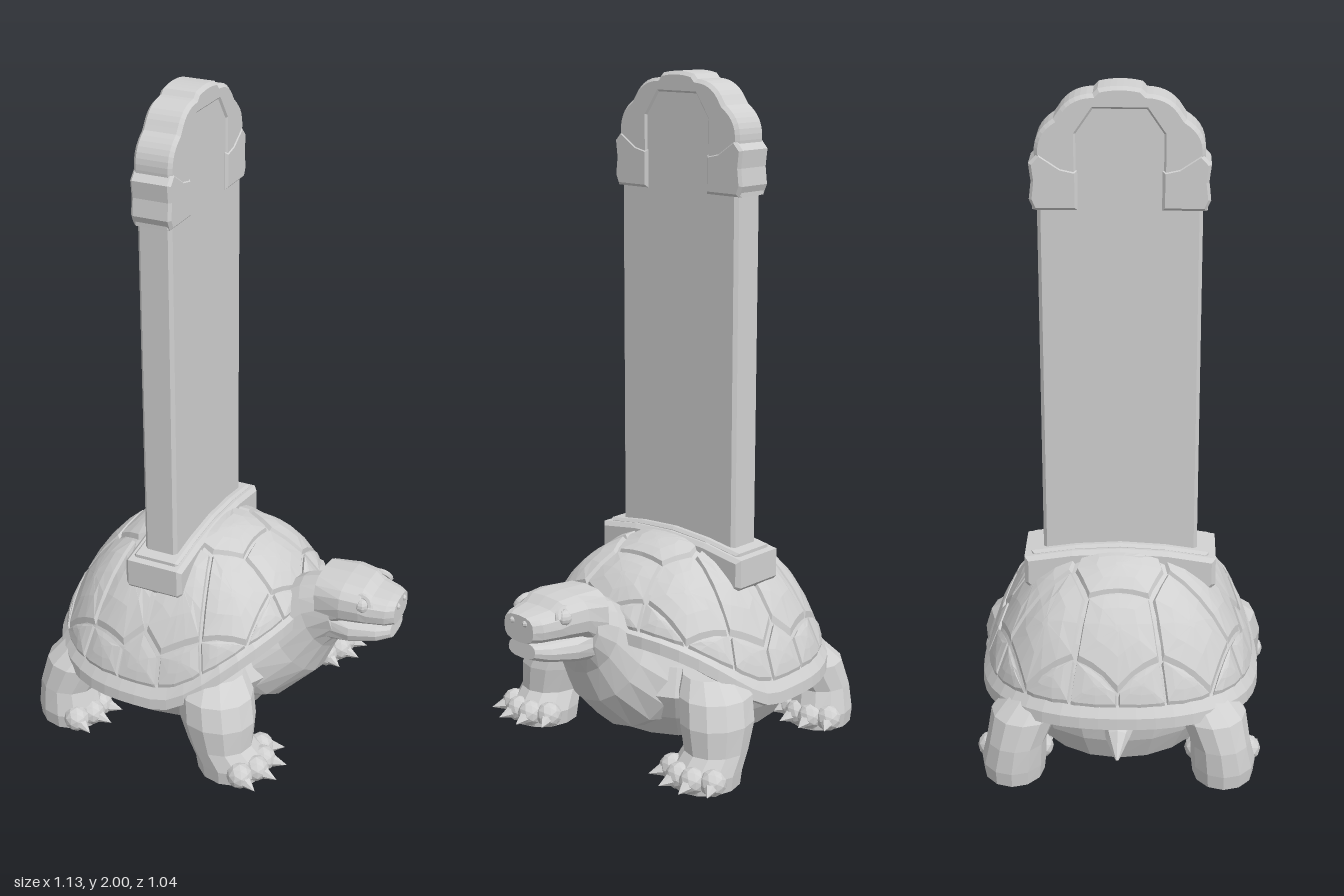
import * as THREE from 'three';

const stone = new THREE.MeshStandardMaterial({ color: 0xd0d0d0, flatShading: true });
stone.name = 'grey stone';
const UP = Math.PI / 2;

function add(parent, name, geometry, x = 0, y = 0, z = 0) {
  const mesh = new THREE.Mesh(geometry, stone);
  mesh.name = name;
  mesh.position.set(x, y, z);
  parent.add(mesh);
  return mesh;
}

function build(points, index) {
  const g = new THREE.BufferGeometry();
  g.setAttribute('position', new THREE.Float32BufferAttribute(points.flat(), 3));
  g.setIndex(index);
  const flat = g.toNonIndexed();
  flat.computeVertexNormals();
  return flat;
}

// closed skin over rings of n points, capped at both ends
function skin(rings) {
  const n = rings[0].length, index = [], points = rings.flat();
  for (let i = 0; i < rings.length - 1; i++) {
    for (let j = 0; j < n; j++) {
      const a = i * n + j, b = i * n + (j + 1) % n;
      index.push(a, b, b + n, a, b + n, a + n);
    }
  }
  [0, rings.length - 1].forEach((r, end) => {
    const c = points.length;
    points.push([0, 1, 2].map((k) => rings[r].reduce((s, p) => s + p[k], 0) / n));
    for (let j = 0; j < n; j++) {
      const a = r * n + j, b = r * n + (j + 1) % n;
      if (end) index.push(c, a, b); else index.push(c, b, a);
    }
  });
  return build(points, index);
}

// sections: [x, y, z, pitch of travel, half height, half width]; power below 1 squares them off
function loft(sections, n = 14, power = 1) {
  const round = (v) => Math.sign(v) * Math.abs(v) ** power;
  return skin(sections.map(([x, y, z, p, a, b]) => Array.from({ length: n }, (_, j) => {
    const t = (j / n) * Math.PI * 2, h = a * round(Math.cos(t));
    return [x - Math.sin(p) * h, y + Math.cos(p) * h, z + b * round(Math.sin(t))];
  })));
}

// side outline (z, y) extruded along x
function slabShape(points, depth, bevel = 0) {
  const g = new THREE.ExtrudeGeometry(new THREE.Shape(points.map((p) => new THREE.Vector2(...p))), {
    depth: depth - 2 * bevel, bevelEnabled: bevel > 0, bevelThickness: bevel,
    bevelSize: bevel, bevelOffset: -bevel, bevelSegments: 1,
  });
  return g.translate(0, 0, bevel - depth / 2).rotateY(UP);
}

// shell surface: r is 0 at the crown and 1 at the rim
const rimHeight = (f) => 0.195 + 0.2 * THREE.MathUtils.smoothstep(Math.cos(f), 0.15, 1)
  + 0.025 * THREE.MathUtils.smoothstep(-Math.cos(f), 0.3, 1);
function shellAt(r, f, y) {
  const c = Math.cos(f), s = Math.sin(f);
  const k = r / Math.pow(Math.abs(c) ** 2.4 + Math.abs(s) ** 2.4, 1 / 2.4);
  return [0.39 * k * c, y, 0.412 * k * s];
}
function dome(r, f, lift = 0) {
  const rim = rimHeight(f);
  const y = rim + (0.622 - rim) * Math.pow(Math.max(0, 1 - r ** 2.4), 0.78);
  return shellAt(r + lift * r, f, y + lift);
}

function shellBase() {
  const n = 48, rings = [];
  const ring = (fn) => rings.push(Array.from({ length: n }, (_, j) => fn(-j / n * Math.PI * 2)));
  for (const [r, dy] of [[0.6, 0.03], [0.96, -0.015], [1.02, -0.005], [1.015, 0.03]]) {
    ring((f) => shellAt(r, f, rimHeight(f) + dy));
  }
  for (const r of [0.96, 0.88, 0.78, 0.66, 0.52, 0.36, 0.18, 0.04]) ring((f) => dome(r, f));
  return skin(rings);
}

// scutes: cells around seed points, clipped to the shell disc
function scuteCells() {
  const seeds = [-0.7, -0.36, 0, 0.36, 0.7].map((u) => [u, 0]);
  for (const s of [-1, 1]) for (const u of [-0.56, -0.19, 0.19, 0.56]) seeds.push([u, s * (0.62 - 0.4 * u * u)]);
  for (let i = 0; i < 18; i++) {
    const a = (i + 0.5) / 18 * Math.PI * 2;
    seeds.push([1.1 * Math.cos(a), 1.1 * Math.sin(a)]);
  }
  return seeds.map((p) => {
    let cell = Array.from({ length: 40 }, (_, i) => [0.97 * Math.cos(i * Math.PI / 20), 0.97 * Math.sin(i * Math.PI / 20)]);
    for (const q of seeds) {
      if (q === p) continue;
      const side = (v) => Math.hypot(v[0] - q[0], v[1] - q[1]) ** 2 - Math.hypot(v[0] - p[0], v[1] - p[1]) ** 2;
      const out = [];
      cell.forEach((v, i) => {
        const w = cell[(i + 1) % cell.length], a = side(v), b = side(w);
        if (a >= 0) out.push(v);
        if (a * b < 0) out.push([v[0] + (w[0] - v[0]) * a / (a - b), v[1] + (w[1] - v[1]) * a / (a - b)]);
      });
      cell = out;
    }
    return cell;
  });
}
function scute(cell) {
  const edge = [];
  cell.forEach((v, i) => {
    const w = cell[(i + 1) % cell.length];
    const steps = Math.max(1, Math.round(Math.hypot(w[0] - v[0], w[1] - v[1]) / 0.12));
    for (let k = 0; k < steps; k++) edge.push([v[0] + (w[0] - v[0]) * k / steps, v[1] + (w[1] - v[1]) * k / steps]);
  });
  const c = [0, 1].map((k) => edge.reduce((s, v) => s + v[k], 0) / edge.length);
  edge.reverse();
  return skin([[0.98, -0.008], [0.9, 0.012], [0.5, 0.016], [0.08, 0.018]].map(([s, lift]) => edge.map((v) => {
    const x = c[0] + (v[0] - c[0]) * s, z = c[1] + (v[1] - c[1]) * s;
    return dome(Math.hypot(x, z), Math.atan2(z, x), lift);
  })));
}

// leg column with stubby clawed toes
function leg(parent, name, rows, side) {
  const g = new THREE.Group();
  g.name = name;
  parent.add(g);
  add(g, name + 'Column', loft(rows.map(([x, y, z, a, b]) => [x, y, z * side, UP, a, b]), 12));
  const [fx, , fz, len, wid] = rows[1];
  for (let i = 0; i < 4; i++) {
    const t = (i / 3) * 2 - 1, yaw = t * 0.5;
    const x = fx + len * (0.84 - 0.3 * t * t), z = (fz + wid * 0.78 * t) * side;
    add(g, 'toe', new THREE.IcosahedronGeometry(0.04, 1), x, 0.042, z);
    const claw = add(g, 'claw', new THREE.ConeGeometry(0.035, 0.08, 6).rotateZ(-UP - 0.15),
      x + 0.035 * Math.cos(yaw), 0.036, z + 0.035 * Math.sin(yaw) * side);
    claw.rotation.y = -yaw * side;
  }
}

export function createModel() {
  const model = new THREE.Group();
  model.name = 'tortoiseStele';
  const t = new THREE.Group();
  t.name = 'tortoiseAndTablet';
  t.position.set(-0.1, 0, -0.03);
  t.rotation.y = -0.322;
  model.add(t);

  // shell and body
  add(t, 'shell', shellBase());
  const scutes = new THREE.Group();
  scutes.name = 'scutes';
  t.add(scutes);
  scuteCells().forEach((cell) => add(scutes, 'scute', scute(cell)));
  add(t, 'belly', loft([
    [-0.02, 0.035, 0, UP, 0.23, 0.21], [-0.02, 0.06, 0, UP, 0.29, 0.27], [-0.01, 0.14, 0, UP, 0.335, 0.325],
    [0, 0.22, 0, UP, 0.36, 0.365], [0, 0.3, 0, UP, 0.32, 0.33],
  ], 20));
  add(t, 'tail', loft([[-0.3, 0.2, 0, Math.PI, 0.06, 0.06], [-0.37, 0.17, 0, Math.PI + 0.4, 0.035, 0.035],
    [-0.425, 0.13, 0, Math.PI + 0.6, 0.004, 0.004]], 8));

  // neck and head
  add(t, 'neck', loft([
    [0.15, 0.24, 0, 0.2, 0.18, 0.26], [0.27, 0.25, 0, 0.35, 0.175, 0.19], [0.36, 0.325, 0, 0.6, 0.15, 0.14],
    [0.43, 0.405, 0, 0.5, 0.118, 0.115], [0.5, 0.45, 0, 0.2, 0.095, 0.112],
  ], 16));
  add(t, 'upperHead', loft([
    [0.45, 0.47, 0, 0.1, 0.092, 0.105], [0.53, 0.5, 0.004, 0, 0.066, 0.114], [0.59, 0.501, 0.008, 0, 0.06, 0.105],
    [0.615, 0.492, 0.01, -0.05, 0.048, 0.095], [0.665, 0.49, 0.012, -0.05, 0.044, 0.078], [0.69, 0.49, 0.012, 0, 0.04, 0.06],
  ], 16, 0.7));
  add(t, 'lowerJaw', loft([
    [0.46, 0.41, 0, 0, 0.065, 0.1], [0.56, 0.41, 0.006, 0, 0.044, 0.102],
    [0.64, 0.418, 0.01, 0.1, 0.032, 0.08], [0.68, 0.425, 0.012, 0.1, 0.024, 0.055],
  ], 16, 0.75));
  for (const s of [-1, 1]) {
    add(t, 'eye', new THREE.SphereGeometry(0.024, 10, 8), 0.596, 0.518, 0.008 + 0.082 * s);
    const lid = add(t, 'brow', new THREE.TorusGeometry(0.028, 0.009, 6, 12, Math.PI), 0.595, 0.52, 0.008 + 0.088 * s);
    lid.rotation.x = -0.5 * s;
    add(t, 'nostril', new THREE.SphereGeometry(0.01, 6, 5), 0.688, 0.51, 0.012 + 0.026 * s);
  }

  // legs
  const front = [[0.29, 0, 0.34, 0.105, 0.095], [0.29, 0.045, 0.34, 0.112, 0.1], [0.255, 0.1, 0.345, 0.1, 0.092],
    [0.24, 0.18, 0.335, 0.118, 0.105], [0.225, 0.25, 0.315, 0.115, 0.105], [0.21, 0.3, 0.28, 0.085, 0.08]];
  const rear = [[-0.28, 0, 0.31, 0.1, 0.09], [-0.28, 0.045, 0.31, 0.105, 0.095], [-0.29, 0.12, 0.3, 0.092, 0.088],
    [-0.26, 0.2, 0.275, 0.108, 0.1], [-0.22, 0.27, 0.23, 0.09, 0.08]];
  for (const s of [-1, 1]) {
    const label = s > 0 ? 'Right' : 'Left';
    leg(t, 'frontLeg' + label, front, s);
    leg(t, 'rearLeg' + label, rear, s);
  }

  // arched socket on the shell
  const socket = (half, low, high) => [[-half * 0.8, 0.46], [half * 0.8, 0.46], [half, 0.52], [half, low],
    [half * 0.5, high - 0.008], [0, high], [-half * 0.5, high - 0.008], [-half, low], [-half, 0.52]];
  add(t, 'socket', slabShape(socket(0.283, 0.605, 0.635), 0.185, 0.012));
  add(t, 'socketLip', slabShape(socket(0.262, 0.618, 0.645), 0.145, 0.008));

  // tablet with chamfered edges
  const tabletPlan = new THREE.Shape([[-0.0525, -0.217], [-0.0425, -0.227], [0.0425, -0.227], [0.0525, -0.217],
    [0.0525, 0.217], [0.0425, 0.227], [-0.0425, 0.227], [-0.0525, 0.217]].map((p) => new THREE.Vector2(...p)));
  add(t, 'tablet', new THREE.ExtrudeGeometry(tabletPlan, { depth: 1.18, bevelEnabled: false }).rotateX(-UP), 0, 0.5, 0);
  add(t, 'crestPanel', slabShape([[-0.12, 1.66], [0.12, 1.66], [0.12, 1.9], [0.05, 1.97], [-0.05, 1.97], [-0.12, 1.9]], 0.105));

  // scalloped crest with an open notch below
  const crest = [[0.115, 1.66], [0.24, 1.66]];
  for (let i = 0; i <= 45; i++) {
    const a = (i / 45) * Math.PI;
    const k = Math.abs(a - UP) < 0.3 ? 1 : 0.95 + 0.05 * Math.abs(Math.cos(a * 5.5 - Math.PI * 2.75));
    crest.push([0.245 * k * Math.cos(a), 1.77 + 0.23 * k * Math.sin(a)]);
  }
  crest.push([-0.24, 1.66], [-0.115, 1.66], [-0.115, 1.87], [-0.07, 1.935], [0.07, 1.935], [0.115, 1.87]);
  add(t, 'crest', slabShape(crest, 0.116, 0.01));
  for (const s of [-1, 1]) {
    add(t, 'crestHead', slabShape([[0.115, 1.66], [0.235, 1.66], [0.248, 1.69], [0.242, 1.74], [0.248, 1.79],
      [0.22, 1.82], [0.16, 1.78], [0.115, 1.77]].map(([z, y]) => [z * s, y]), 0.122, 0.008));
  }
  return model;
}
